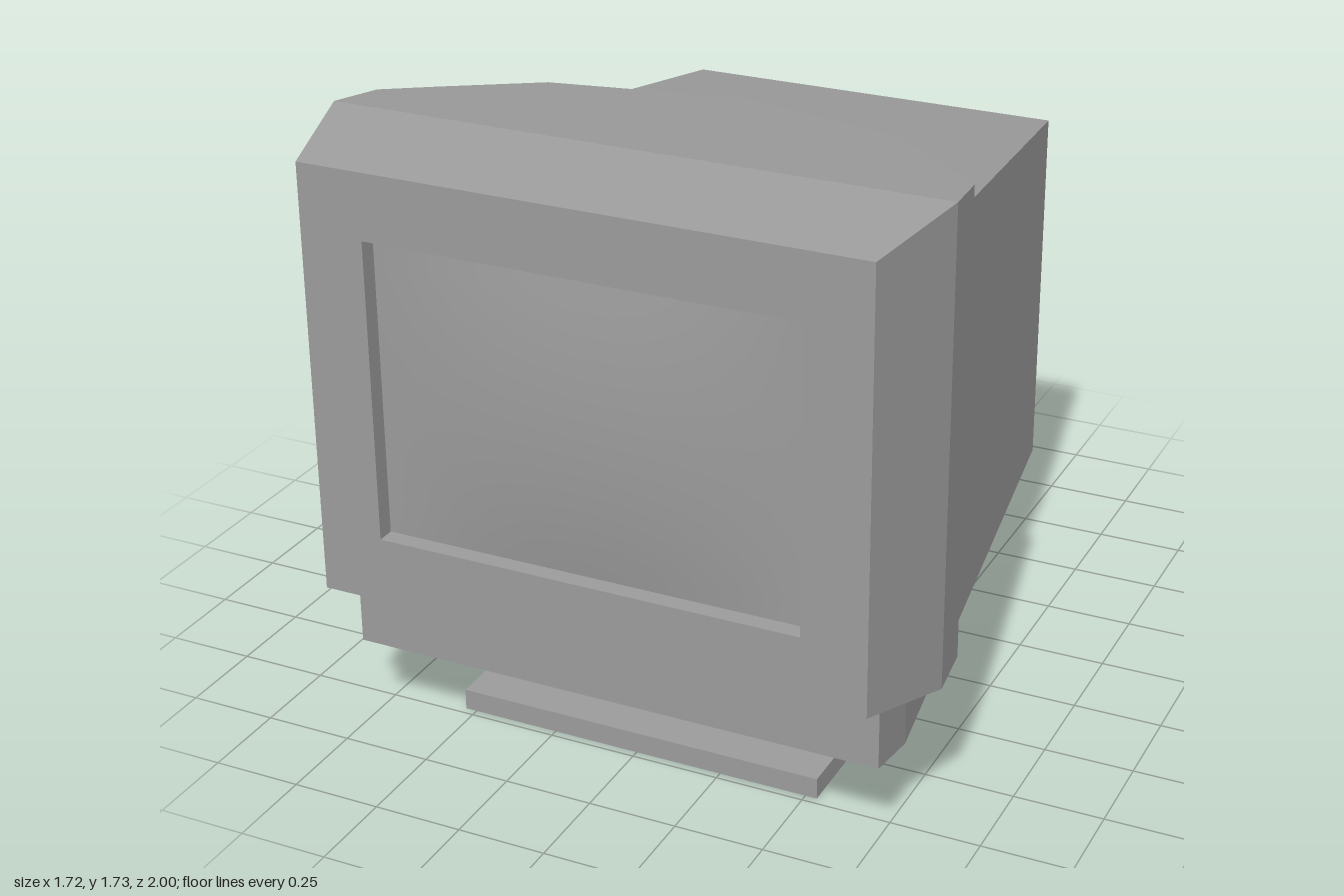
import * as THREE from 'three';

const GREY = 0x9b9b9b;
const flat = new THREE.MeshStandardMaterial({ color: GREY, flatShading: true });
const smooth = new THREE.MeshStandardMaterial({ color: GREY, side: THREE.DoubleSide });

// Lofts rectangular sections [z, halfWidth, bottomY, topY] and caps both ends.
function loftRects(sections) {
  const rings = sections.map(([z, w, y0, y1]) => [[-w, y0, z], [w, y0, z], [w, y1, z], [-w, y1, z]]);
  const pos = [];
  const quad = (a, b, c, d) => pos.push(...a, ...b, ...c, ...a, ...c, ...d);
  for (let i = 0; i < rings.length - 1; i++) {
    for (let j = 0; j < 4; j++) {
      const k = (j + 1) % 4;
      quad(rings[i][j], rings[i][k], rings[i + 1][k], rings[i + 1][j]);
    }
  }
  quad(...[...rings[0]].reverse());
  quad(...rings[rings.length - 1]);
  const geo = new THREE.BufferGeometry();
  geo.setAttribute('position', new THREE.Float32BufferAttribute(pos, 3));
  geo.computeVertexNormals();
  return geo;
}

function squarePath(path, r) {
  path.moveTo(-r, -r);
  path.lineTo(r, -r);
  path.lineTo(r, r);
  path.lineTo(-r, r);
  path.closePath();
  return path;
}

export function createModel() {
  const model = new THREE.Group();
  model.name = 'monitor';
  const add = (name, geo, mat = flat) => {
    const mesh = new THREE.Mesh(geo, mat);
    mesh.name = name;
    model.add(mesh);
    return mesh;
  };

  // Front hood: pointed at the back, with the screen recess folded in at the front
  add('hood', loftRects([
    [0.06, 0, 0.4, 1.66],
    [0.2, 0.505, 0.4, 1.675],
    [0.415, 0.725, 0.4, 1.697],
    [0.525, 0.838, 0.4, 1.707],
    [0.695, 0.86, 0.402, 1.725],
    [1, 0.78, 0.465, 1.673],
    [1, 0.6, 0.65, 1.49],
    [0.94, 0.6, 0.65, 1.49],
  ]));

  // Tapered rear body, running forward under the hood as a chin
  add('body', loftRects([
    [-0.862, 0.558, 0.317, 1.385],
    [0.415, 0.727, 0.23, 1.54],
    [0.69, 0.763, 0.21, 1.4],
    [0.872, 0.763, 0.24, 0.44],
  ]));

  // Rear box with a square recess
  add('rearBox', loftRects([
    [-0.91, 0.26, 0.557, 1.035],
    [-1, 0.26, 0.557, 1.035],
    [-1, 0.395, 0.422, 1.17],
    [-0.85, 0.395, 0.422, 1.17],
  ]));

  // Screen glass: straight edges, gently bulging centre
  const glass = new THREE.PlaneGeometry(1.2, 0.84, 16, 12);
  const p = glass.attributes.position;
  for (let i = 0; i < p.count; i++) {
    const u = p.getX(i) / 0.6, v = p.getY(i) / 0.42;
    p.setZ(i, 0.95 + 0.035 * (1 - u * u) * (1 - v * v));
  }
  glass.translate(0, 1.07, 0);
  glass.computeVertexNormals();
  add('screen', glass, smooth);

  // Swivel: open eight-sided bowl with flats facing front and sides
  const profile = [[0.185, 0.05], [0.37, 0.165], [0.455, 0.28], [0.47, 0.33]];
  const toCorner = 1 / Math.cos(Math.PI / 8);
  const points = profile.map(([r, y]) => new THREE.Vector2(r * toCorner, y));
  const swivel = new THREE.LatheGeometry(points, 8, Math.PI / 8);
  add('swivel', swivel, smooth).position.z = 0.195;

  // Base plate with a square opening
  const shape = squarePath(new THREE.Shape(), 0.533);
  shape.holes.push(squarePath(new THREE.Path(), 0.21));
  const plate = new THREE.ExtrudeGeometry(shape, { depth: 0.06, bevelEnabled: false });
  plate.rotateX(-Math.PI / 2);
  add('basePlate', plate).position.z = 0.195;

  return model;
}
